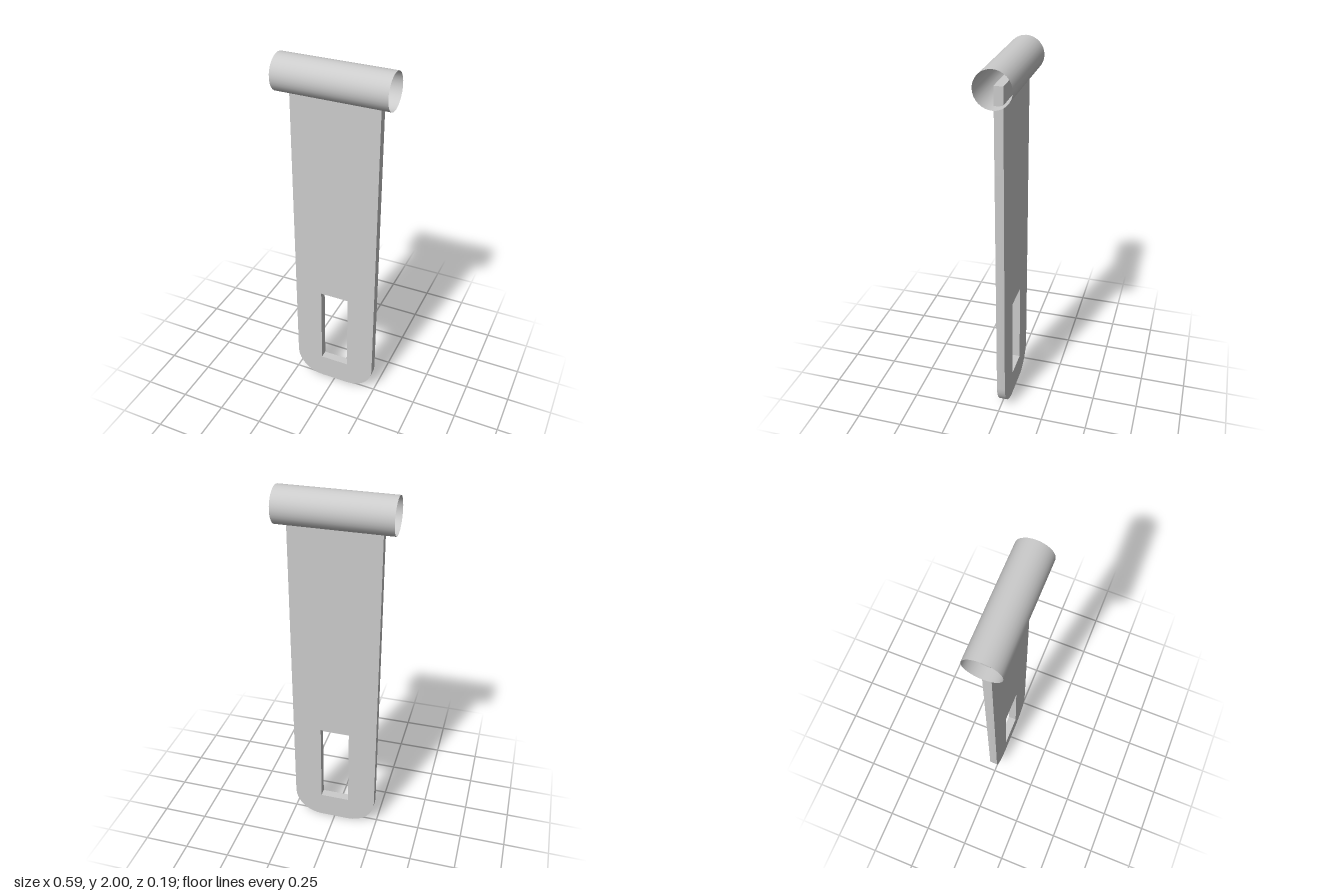
import * as THREE from 'three';
import { toCreasedNormals } from 'three/addons/utils/BufferGeometryUtils.js';

export function createModel() {
  const group = new THREE.Group();
  const material = new THREE.MeshStandardMaterial({ color: 0xcccccc });

  // Flat strap with rounded lower corners and a rectangular slot
  const w = 0.237, top = 1.906, r = 0.155, thickness = 0.046;
  const outline = new THREE.Shape();
  outline.moveTo(-w, top);
  outline.lineTo(-w, r);
  outline.absarc(-w + r, r, r, Math.PI, Math.PI * 1.5, false);
  outline.lineTo(w - r, 0);
  outline.absarc(w - r, r, r, Math.PI * 1.5, Math.PI * 2, false);
  outline.lineTo(w, top);
  outline.closePath();

  const slot = new THREE.Path();
  slot.moveTo(-0.082, 0.147);
  slot.lineTo(-0.082, 0.63);
  slot.lineTo(0.08, 0.63);
  slot.lineTo(0.08, 0.147);
  slot.closePath();
  outline.holes.push(slot);

  const strapGeometry = new THREE.ExtrudeGeometry(outline, {
    depth: thickness, bevelEnabled: false, curveSegments: 4,
  });
  strapGeometry.translate(0, 0, -0.034);
  const strap = new THREE.Mesh(toCreasedNormals(strapGeometry, 0.6), material);
  strap.name = 'strap';
  group.add(strap);

  // Thin open hinge tube across the top of the strap
  const tubeMaterial = material.clone();
  tubeMaterial.side = THREE.DoubleSide;
  const tubeGeometry = new THREE.CylinderGeometry(0.094, 0.094, 0.594, 32, 1, true);
  tubeGeometry.rotateZ(Math.PI / 2);
  const tube = new THREE.Mesh(tubeGeometry, tubeMaterial);
  tube.name = 'hingeTube';
  tube.position.y = top;
  group.add(tube);

  return group;
}
